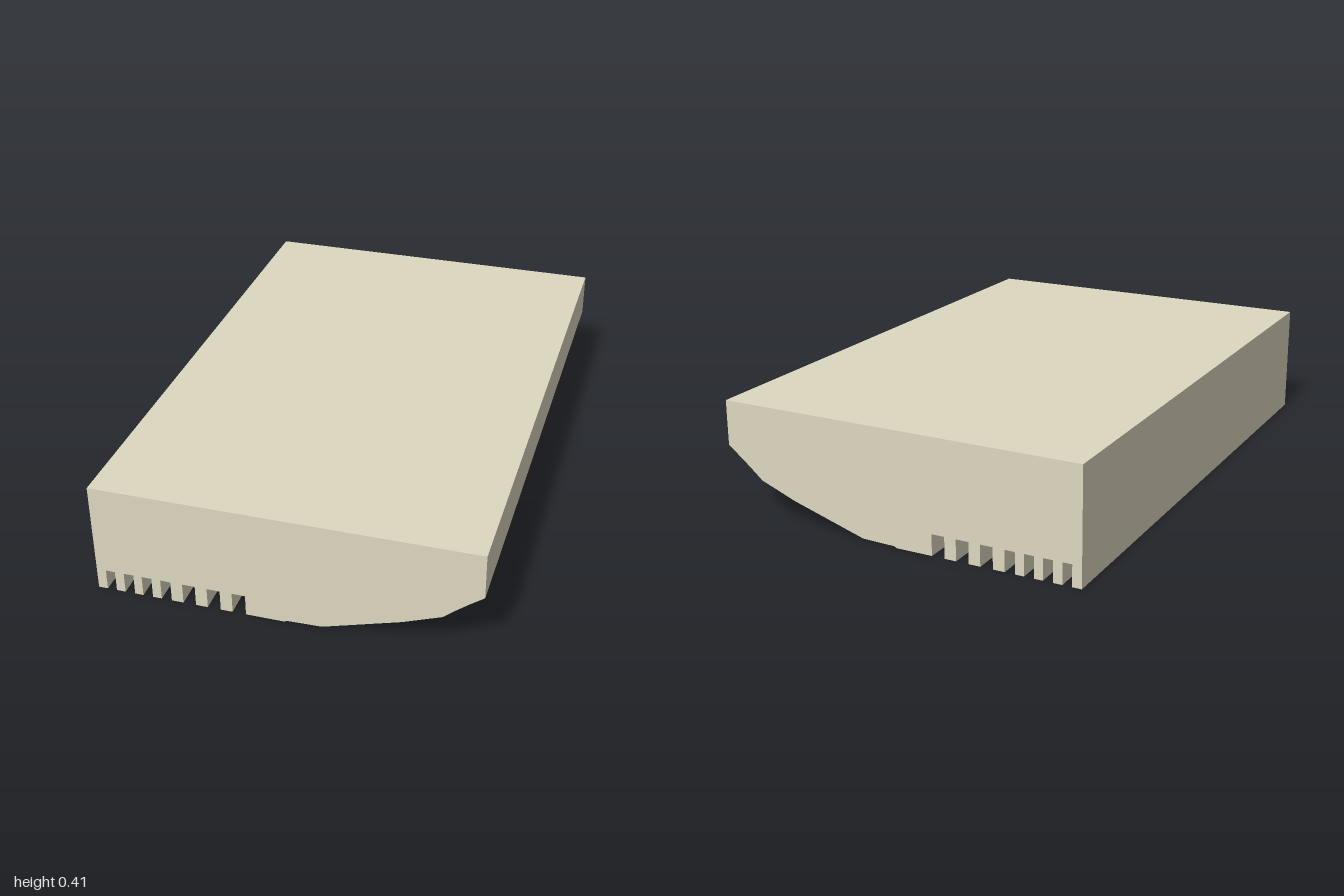
import * as THREE from 'three';

const mat = (color) => new THREE.MeshStandardMaterial({ color, flatShading: true });

// Extrudes an outline in the xy plane between two depths
function prism(name, points, z0, z1, material) {
  const shape = new THREE.Shape(points.map(([x, y]) => new THREE.Vector2(x, y)));
  const geo = new THREE.ExtrudeGeometry(shape, { depth: z1 - z0, bevelEnabled: false });
  geo.translate(0, 0, z0);
  const mesh = new THREE.Mesh(geo, material);
  mesh.name = name;
  return mesh;
}

const rect = (x0, x1, y0, y1) => [[x0, y0], [x1, y0], [x1, y1], [x0, y1]];

export function createModel() {
  const group = new THREE.Group();
  group.name = 'airConditioner';
  const shell = mat(0xded8c0), black = mat(0x14110d), olive = mat(0x4a432e), brown = mat(0x6b6040);

  const back = -0.663, front = 0.662, top = 0.405;
  const zBack = -0.88, zFront = 0.9; // span of the vent and the intake
  const grooves = [[-0.63, -0.597], [-0.565, -0.53], [-0.5, -0.465], [-0.433, -0.397],
    [-0.355, -0.31], [-0.268, -0.222], [-0.18, -0.133]];
  const grooveTop = 0.076, fillBottom = 0.014;

  // Curved outlet side: its outer surface and the shallow vent recess
  const belly = [[0, 0], [0.01, 0.005], [0.13, 0.008], [0.4, 0.09]];
  const ventFace = [[0.475, 0.119], [0.53, 0.14], [0.577, 0.18], [0.62, 0.214]];
  const ventFloor = [[0.468, 0.129], [0.523, 0.151], [0.567, 0.19], [0.611, 0.224]];
  const ventBase = ventFloor.map(([x, y]) => [x - 0.004, y + 0.006]);
  const upper = [[front, 0.245], [front, top], [back, top]];

  // End caps with open intake grooves
  const notches = grooves.flatMap(([a, b]) => [[a, 0], [a, grooveTop], [b, grooveTop], [b, 0]]);
  const capOutline = [[back, 0], ...notches, ...belly, ...ventFace, ...upper];
  group.add(prism('frontCap', capOutline, zFront, 1, shell));
  group.add(prism('backCap', capOutline, -1, zBack, shell));

  // Middle of the housing, hollowed for the intake and the vent
  const x0 = grooves[0][0], x1 = grooves[grooves.length - 1][1];
  const bodyOutline = [[back, 0], [x0, 0], [x0, grooveTop], [x1, grooveTop], [x1, 0],
    ...belly, ventFace[0], ...ventFloor, ventFace[3], ...upper];
  group.add(prism('housing', bodyOutline, zBack, zFront, shell));

  // Intake: dark filler with a slat between each pair of grooves
  group.add(prism('intakeFiller', rect(x0, x1, fillBottom, grooveTop), zBack, zFront, black));
  for (let i = 0; i < grooves.length - 1; i++) {
    group.add(prism('intakeSlat', rect(grooves[i][1], grooves[i + 1][0], 0, fillBottom), zBack, zFront, olive));
  }

  // Vent: black floor, middle divider and long louver
  const ventPanel = ventFloor.map(([x, y]) => [x + 0.002, y - 0.003]);
  group.add(prism('ventFloor', [...ventPanel, ...ventBase.slice().reverse()], zBack, zFront, black));
  const dividerFace = ventFace.map(([x, y]) => [x - 0.001, y + 0.0015]);
  group.add(prism('ventDivider', [...dividerFace, ...ventBase.slice().reverse()], -0.05, 0.18, olive));
  group.add(prism('ventLouver', [ventFace[1], ventFace[2], [0.573, 0.184], [0.526, 0.144]], zBack, zFront, brown));

  return group;
}
